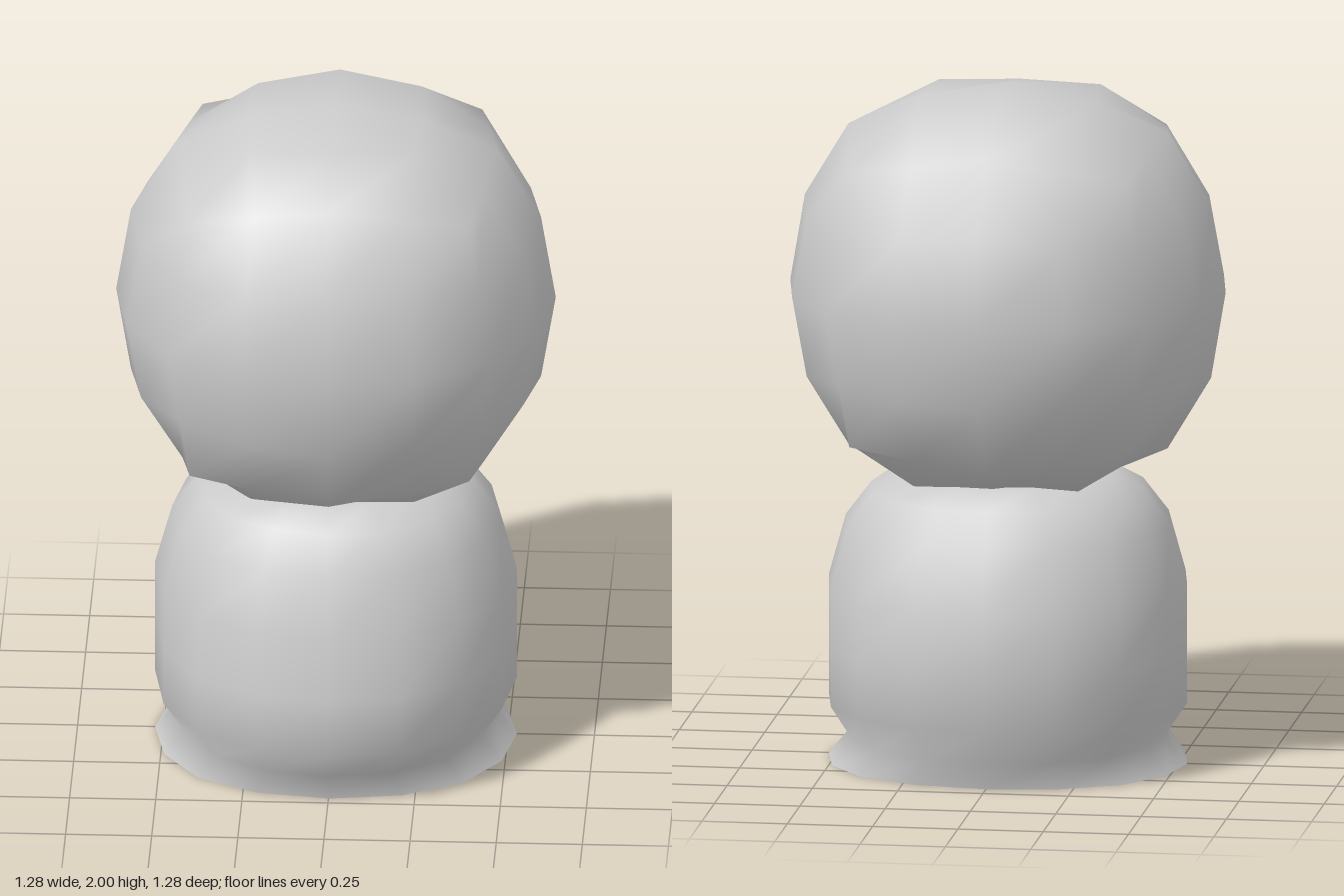
import * as THREE from 'three';
import { mergeVertices } from 'three/addons/utils/BufferGeometryUtils.js';

// Rounded cube: a 4x4x4 box whose grid points are pulled in to a soft ball
function headGeometry(radius) {
  const box = new THREE.BoxGeometry(2, 2, 2, 4, 4, 4);
  box.deleteAttribute('normal');
  box.deleteAttribute('uv');
  const geo = mergeVertices(box);
  // squared grid distance -> [new value for 1, new value for 0.5]
  const pull = {
    1: [1, 0], 1.25: [0.933, 0.399], 1.5: [0.87, 0.371],
    2: [0.733, 0], 2.25: [0.682, 0.344], 3: [0.636, 0],
  };
  const p = geo.attributes.position;
  const v = new THREE.Vector3();
  for (let i = 0; i < p.count; i++) {
    v.fromBufferAttribute(p, i);
    const [full, half] = pull[v.lengthSq()];
    const move = (c) => Math.sign(c) * radius * (Math.abs(c) > 0.75 ? full : Math.abs(c) > 0.25 ? half : 0);
    // crown and underside are slightly flattened, except at the back of the crown
    const nearPole = Math.abs(v.x) + Math.abs(v.z) < 0.75;
    const flat = nearPole && !(v.y > 0 && v.z < -0.25) ? 0.035 * Math.sign(v.y) : 0;
    p.setXYZ(i, move(v.x), move(v.y) - flat, move(v.z));
  }
  geo.computeVertexNormals();
  return geo;
}

// Sixteen-sided soft ring, from the front (+z) round through +x
const quarter = [[0, 1], [0.399, 0.933], [0.733, 0.733], [0.933, 0.399]];
const ring = [];
for (let q = 0; q < 4; q++) {
  for (const [x, z] of quarter) {
    ring.push([[x, z], [z, -x], [-x, -z], [-z, x]][q]);
  }
}

// Skin through cross-sections [y, half width, front depth, back depth]
function loft(sections) {
  const pos = [], index = [], n = ring.length;
  for (const [y, w, f, b] of sections) {
    for (const [x, z] of ring) pos.push(x * w, y, z * (z > 0 ? f : b));
  }
  for (let s = 0; s < sections.length - 1; s++) {
    for (let i = 0; i < n; i++) {
      const a = s * n + i, c = s * n + (i + 1) % n;
      index.push(a, c, c + n, a, c + n, a + n);
    }
  }
  const geo = new THREE.BufferGeometry();
  geo.setAttribute('position', new THREE.Float32BufferAttribute(pos, 3));
  geo.setIndex(index);
  geo.computeVertexNormals();
  return geo;
}

export function createModel() {
  const group = new THREE.Group();
  const grey = new THREE.MeshStandardMaterial({ color: 0xcccccc });
  grey.name = 'plain grey';
  const add = (name, geo) => {
    const mesh = new THREE.Mesh(geo, grey);
    mesh.name = name;
    group.add(mesh);
    return mesh;
  };

  add('head', headGeometry(0.638)).position.y = 1.4;

  // Body with waisted sides above a flared foot
  add('body', loft([
    [0, 0.525, 0.47, 0.44],
    [0.08, 0.46, 0.49, 0.465],
    [0.18, 0.525, 0.57, 0.51],
    [0.35, 0.525, 0.565, 0.54],
    [0.53, 0.525, 0.525, 0.52],
    [0.71, 0.475, 0.475, 0.46],
    [0.81, 0.4, 0.4, 0.4],
    [0.865, 0.3, 0.3, 0.3],
    [0.88, 0.02, 0.02, 0.02],
  ]));

  // Flat underside closing the body
  const outline = ring.map(([x, z]) => new THREE.Vector2(x * 0.525, -z * (z > 0 ? 0.47 : 0.44)));
  add('base', new THREE.ShapeGeometry(new THREE.Shape(outline)).rotateX(-Math.PI / 2).scale(1, -1, 1));
  const base = group.getObjectByName('base').geometry;
  // face the underside downwards
  const idx = base.index;
  for (let i = 0; i < idx.count; i += 3) {
    const t = idx.getX(i);
    idx.setX(i, idx.getX(i + 1));
    idx.setX(i + 1, t);
  }
  base.computeVertexNormals();
  return group;
}
